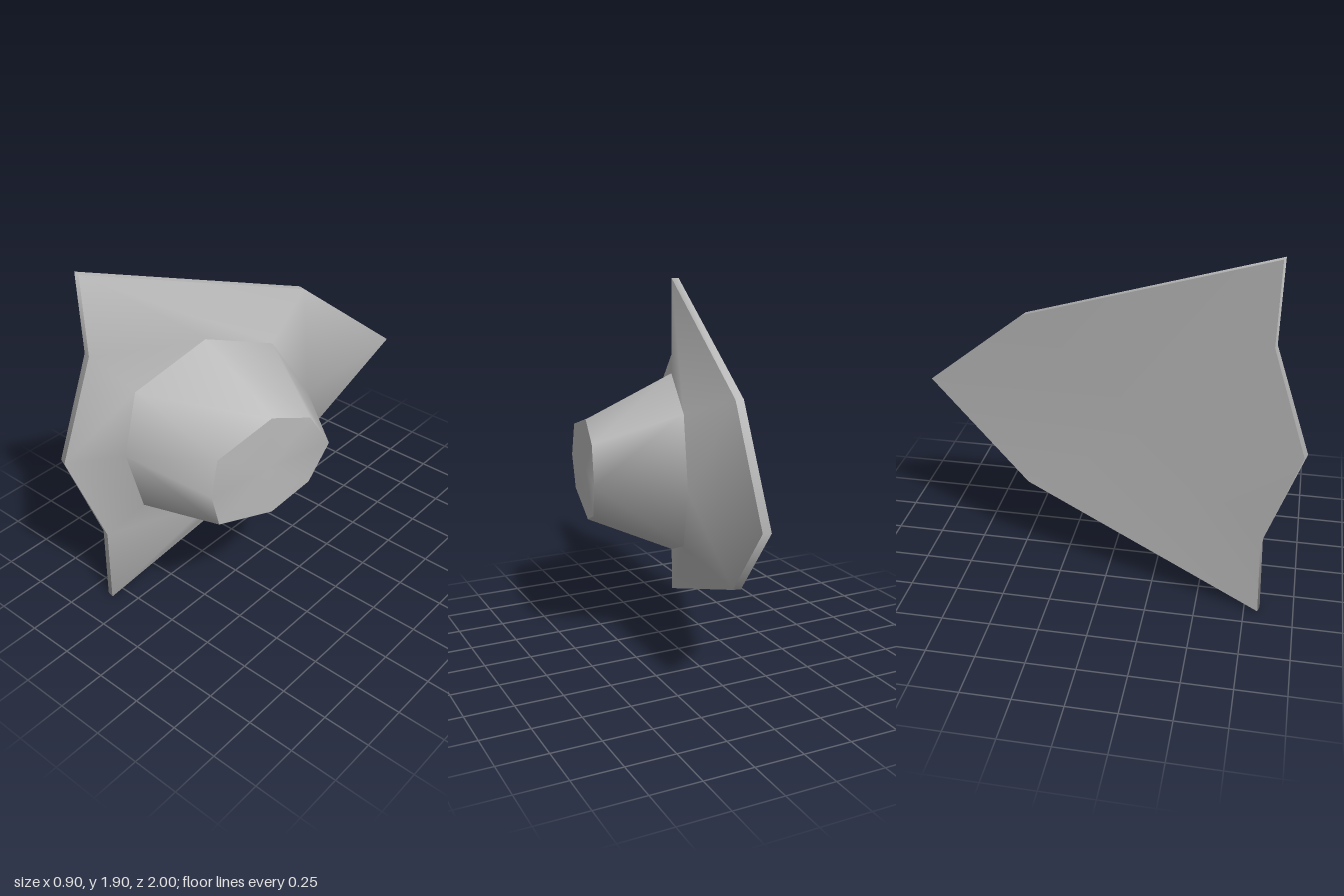
import * as THREE from 'three';

const MID_Y = 0.95;

// Mirror half a loop (front to back, upper side) into a full eight-point loop
function loop(half) {
  const lower = half.slice(1, -1).reverse().map(([x, y, z]) => [x, 2 * MID_Y - y, z]);
  return [...half, ...lower];
}

// Cross-sections from the flat underside to the crown top, as [x, y, z]
const under = loop([[-0.45, 0.95, 0.985], [-0.405, 1.48, 0.81], [-0.405, 1.9, 0.82], [-0.13, 1.43, -0.44], [0.04, 0.95, -1]]);
const edge = loop([[-0.41, 0.95, 1], [-0.365, 1.48, 0.82], [-0.365, 1.9, 0.83], [-0.09, 1.43, -0.43], [0.08, 0.95, -0.99]]);
const base = loop([[-0.235, 0.95, 0.765], [-0.215, 1.285, 0.69], [-0.11, 1.445, 0.31], [0, 1.3, -0.06], [0.075, 0.95, -0.26]]);
const top = loop([[0.305, 0.95, 0.74], [0.305, 1.135, 0.695], [0.36, 1.225, 0.375], [0.415, 1.14, 0.155], [0.45, 0.95, 0.045]]);

function geometry(points, index) {
  const g = new THREE.BufferGeometry();
  g.setAttribute('position', new THREE.Float32BufferAttribute(points.flat(), 3));
  g.setIndex(index);
  g.computeVertexNormals();
  return g;
}

// Band between two loops, with diagonals mirrored about the middle
function band(a, b) {
  const n = a.length, index = [];
  for (let i = 0; i < n; i++) {
    const j = (i + 1) % n;
    if (i < n / 2) index.push(i, n + i, n + j, i, n + j, j);
    else index.push(i, n + i, j, j, n + i, n + j);
  }
  return geometry([...a, ...b], index);
}

// Fan that closes a loop, facing +x or -x
function cap(ring, center, facesPlusX) {
  const n = ring.length, index = [];
  for (let i = 0; i < n; i++) {
    const j = (i + 1) % n;
    index.push(n, ...(facesPlusX ? [j, i] : [i, j]));
  }
  return geometry([...ring, center], index);
}

// Share one normal where several parts meet at a point
function blend(point, geos) {
  const hits = [], sum = new THREE.Vector3(), p = new THREE.Vector3(), target = new THREE.Vector3(...point);
  for (const g of geos) {
    for (let i = 0; i < g.attributes.position.count; i++) {
      if (p.fromBufferAttribute(g.attributes.position, i).distanceTo(target) > 1e-4) continue;
      hits.push([g, i]);
      sum.add(p.fromBufferAttribute(g.attributes.normal, i));
    }
  }
  sum.normalize();
  for (const [g, i] of hits) g.attributes.normal.setXYZ(i, sum.x, sum.y, sum.z);
}

export function createModel() {
  const grey = new THREE.MeshStandardMaterial({ color: 0xb8b8b8 });
  grey.name = 'grey';

  const parts = {
    underside: cap(under, [-0.27, MID_Y, 0.25], false),
    rimEdge: band(under, edge),
    brim: band(edge, base),
    crown: band(base, top),
    crownTop: cap(top, [0.36, MID_Y, 0.4], true),
  };

  // Soft ridges at the front and back of the crown
  for (const ring of [base, top]) {
    for (const i of [0, 4]) blend(ring[i], [parts.brim, parts.crown, parts.crownTop]);
  }

  const model = new THREE.Group();
  model.name = 'model';
  for (const [name, g] of Object.entries(parts)) {
    const mesh = new THREE.Mesh(g, grey);
    mesh.name = name;
    model.add(mesh);
  }
  return model;
}
